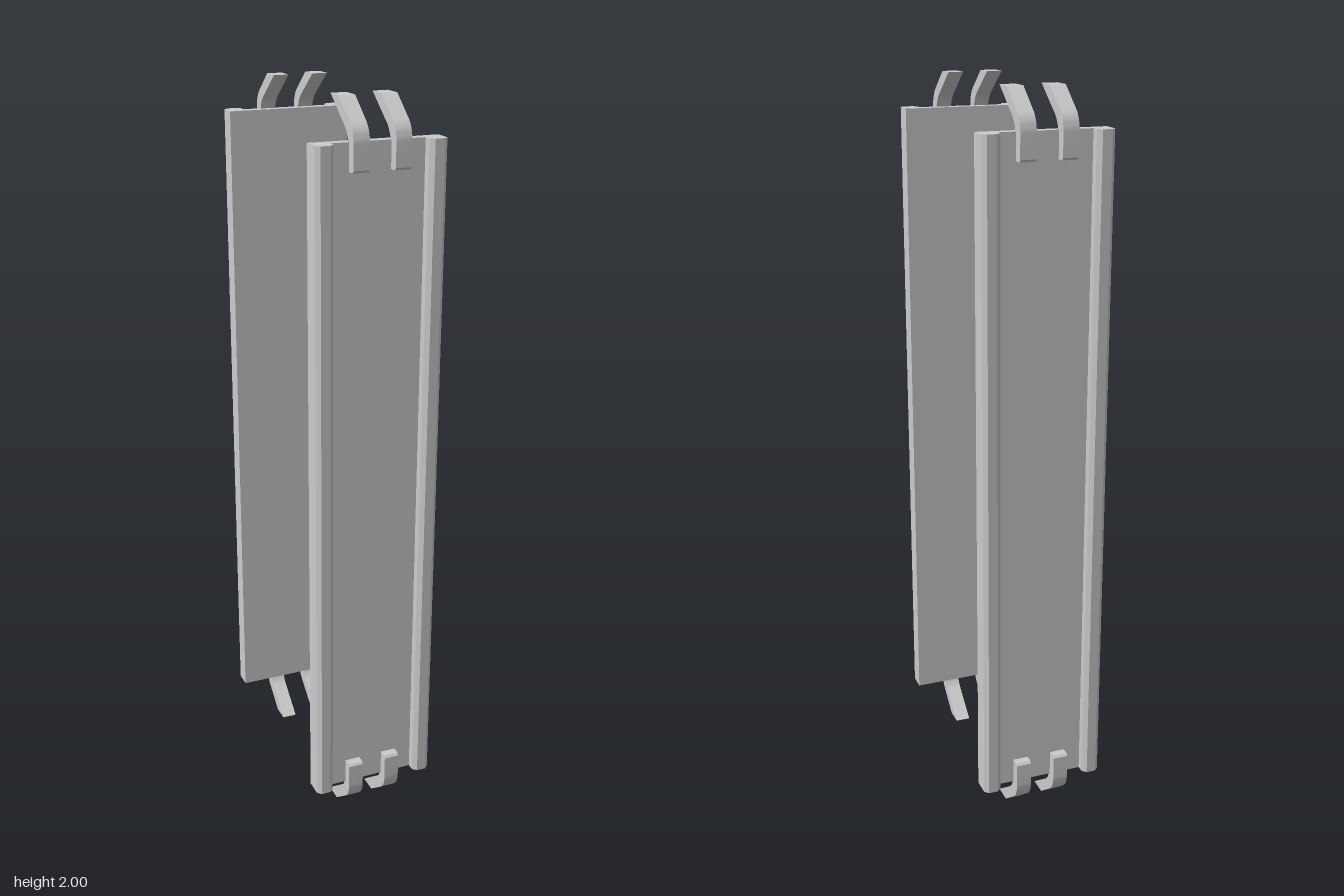
import * as THREE from 'three';
import { toCreasedNormals } from 'three/addons/utils/BufferGeometryUtils.js';

const material = new THREE.MeshStandardMaterial({ color: 0xcccccc });

// Grooved panel: thin plate with a chamfered rail along each long edge
function panelGeometry(height) {
  const half = [[0.172, 0.285], [0.172, 0.334], [0.161, 0.345], [0.135, 0.345], [0.124, 0.334], [0.124, 0.313]];
  const outline = [...half, ...half.map(([x, z]) => [-x, z]).reverse()];
  const shape = new THREE.Shape(outline.map(([x, z]) => new THREE.Vector2(x, -z)));
  const geometry = new THREE.ExtrudeGeometry(shape, { depth: height, bevelEnabled: false });
  return geometry.rotateX(-Math.PI / 2).translate(0, -height / 2, 0);
}

// Bent clip: flat foot on the plate, rounded bend, sloping arm with a level tip
function clipGeometry(width) {
  const s = new THREE.Shape();
  s.moveTo(0.305, 0.83);
  s.lineTo(0.335, 0.83);
  s.lineTo(0.34, 0.836);
  s.lineTo(0.34, 0.895);
  s.quadraticCurveTo(0.34, 0.93, 0.315, 0.949);
  s.lineTo(0.25, 1);
  s.lineTo(0.198, 1);
  s.lineTo(0.285, 0.935);
  s.quadraticCurveTo(0.308, 0.917, 0.311, 0.88);
  s.lineTo(0.305, 0.88);
  const geometry = new THREE.ExtrudeGeometry(s, { depth: width, bevelEnabled: false, curveSegments: 8 });
  geometry.rotateY(-Math.PI / 2).translate(width / 2, 0, 0);
  return toCreasedNormals(geometry, 0.5);
}

export function createModel() {
  const model = new THREE.Group();
  model.name = 'clippedPanels';
  const panelGeo = panelGeometry(1.8);
  const clipGeo = clipGeometry(0.042);

  for (const side of ['front', 'back']) {
    const assembly = new THREE.Group();
    assembly.name = side + 'Assembly';
    const panel = new THREE.Mesh(panelGeo, material);
    panel.name = side + 'Panel';
    assembly.add(panel);

    // Two clips at each end; the lower pair is the upper pair turned over
    for (const end of ['upper', 'lower']) {
      for (const x of [-0.055, 0.055]) {
        const clip = new THREE.Mesh(clipGeo, material);
        clip.name = end + 'Clip';
        clip.position.x = x;
        if (end === 'lower') clip.rotation.z = Math.PI;
        assembly.add(clip);
      }
    }
    assembly.position.y = 1;
    if (side === 'back') assembly.rotation.y = Math.PI;
    model.add(assembly);
  }
  return model;
}
